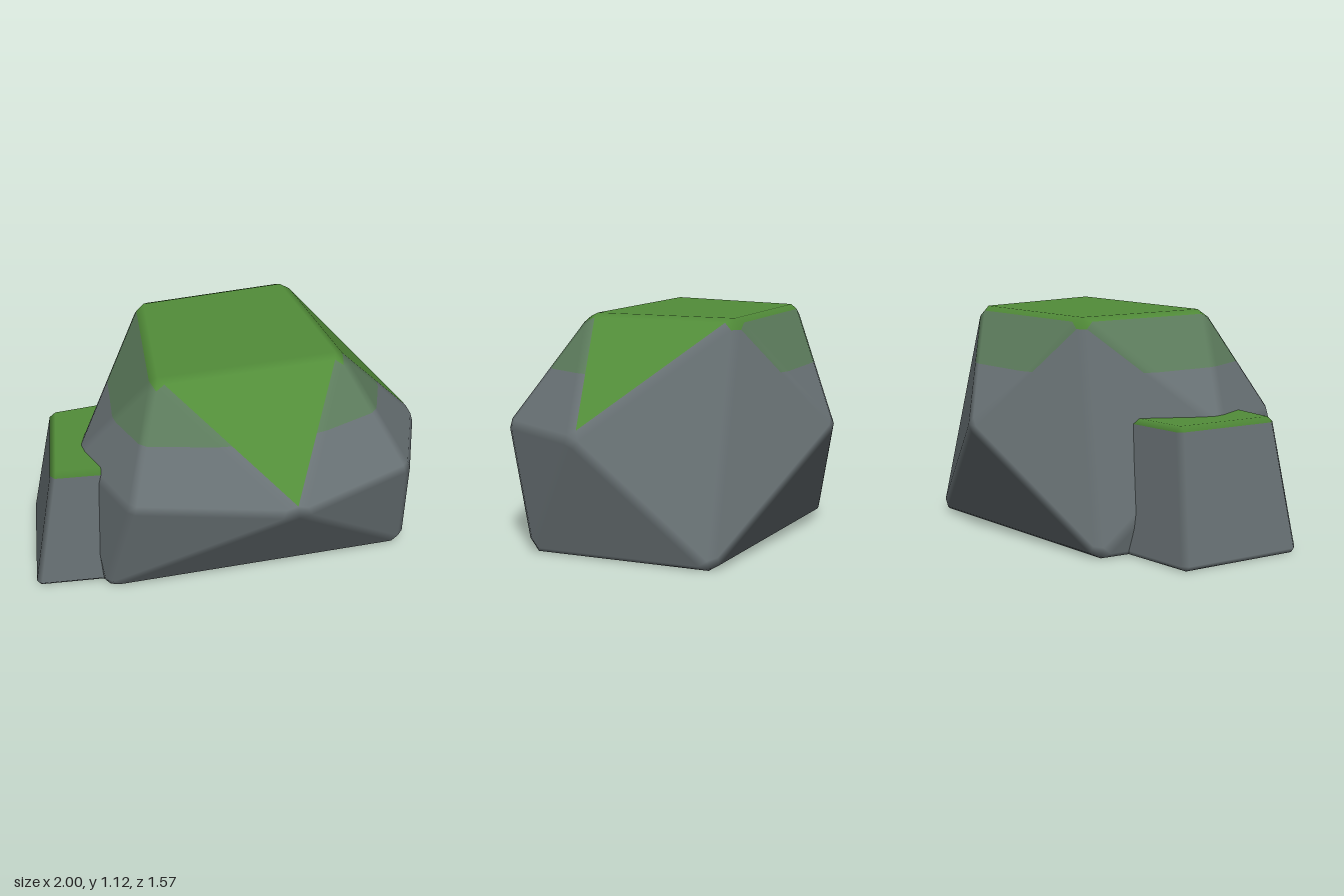
import * as THREE from 'three';
import { ConvexGeometry } from 'three/addons/geometries/ConvexGeometry.js';

const MOSS_LINE = 0.86; // thin moss stops at this height
const BEVEL = 0.025;

// Bevelled convex stone. corners: name -> [x, y, z]; faces: [kind, corner names].
// Each face is shrunk in its own plane; the hull of all shrunk faces adds the bevels,
// and the face normals blend across them.
function stone(name, corners, faces, materials) {
  const C = {};
  const centre = new THREE.Vector3();
  for (const k in corners) {
    C[k] = new THREE.Vector3(...corners[k]);
    centre.add(C[k]);
  }
  centre.divideScalar(Object.keys(C).length);

  const points = [];
  for (const [kind, list] of faces) {
    const poly = list.split(' ').map((k) => C[k]);
    const normal = new THREE.Plane().setFromCoplanarPoints(poly[0], poly[1], poly[2]).normal;
    if (normal.dot(poly[0].clone().sub(centre)) < 0) normal.negate();
    poly.forEach((p, i) => {
      const a = poly[(i + 1) % poly.length].clone().sub(p).normalize();
      const b = poly[(i + poly.length - 1) % poly.length].clone().sub(p).normalize();
      const s = BEVEL / Math.sin(a.angleTo(b));
      points.push({ p: p.clone().addScaledVector(a, s).addScaledVector(b, s), n: normal, kind });
    });
  }

  // Sort hull triangles by colour; bevels take the first kind in this order
  const order = ['top', 'thin', 'rock', 'moss'];
  const buckets = { rock: [], thin: [], moss: [] };
  const emit = (key, poly) => {
    for (let i = 1; i + 1 < poly.length; i++) buckets[key].push(poly[0], poly[i], poly[i + 1]);
  };
  const clip = (poly, sign) => {
    const out = [];
    poly.forEach((v, i) => {
      const w = poly[(i + 1) % poly.length];
      const dv = (v.p.y - MOSS_LINE) * sign;
      const dw = (w.p.y - MOSS_LINE) * sign;
      if (dv >= 0) out.push(v);
      if (dv * dw < 0) {
        const t = dv / (dv - dw);
        out.push({ p: v.p.clone().lerp(w.p, t), n: v.n.clone().lerp(w.n, t).normalize() });
      }
    });
    return out;
  };
  const hull = new ConvexGeometry(points.map((q) => q.p)).getAttribute('position');
  const nearest = (i) => {
    const v = new THREE.Vector3().fromBufferAttribute(hull, i);
    return points.reduce((m, q) => (q.p.distanceToSquared(v) < m.p.distanceToSquared(v) ? q : m));
  };
  for (let i = 0; i < hull.count; i += 3) {
    const tri = [nearest(i), nearest(i + 1), nearest(i + 2)];
    const kind = order[Math.min(...tri.map((q) => order.indexOf(q.kind)))];
    if (kind === 'thin') {
      emit('thin', clip(tri, 1));
      emit('rock', clip(tri, -1));
    } else emit(kind === 'top' ? 'moss' : kind, tri);
  }

  const group = new THREE.Group();
  group.name = name;
  const labels = { rock: 'Rock', thin: 'ThinMoss', moss: 'Moss' };
  for (const key in buckets) {
    if (!buckets[key].length) continue;
    const geo = new THREE.BufferGeometry();
    const flat = (f) => new THREE.Float32BufferAttribute(buckets[key].flatMap((v) => v[f].toArray()), 3);
    geo.setAttribute('position', flat('p'));
    geo.setAttribute('normal', flat('n'));
    const mesh = new THREE.Mesh(geo, materials[key]);
    mesh.name = name + labels[key];
    group.add(mesh);
  }
  return group;
}

export function createModel() {
  const paint = (name, color) => {
    const m = new THREE.MeshStandardMaterial({ color });
    m.name = name;
    return m;
  };
  const materials = {
    rock: paint('stone grey', 0x687174),
    thin: paint('thin moss', 0x5c7b5c),
    moss: paint('moss green', 0x528d39),
  };
  const model = new THREE.Group();
  model.name = 'mossyRocks';

  // Large boulder: t = top corners, b = base corners, m = waist corners, F R B L = side points
  model.add(stone('boulder', {
    tbl: [-0.33, 1.12, -0.41], tbr: [0.44, 1.12, -0.47], tfr: [0.55, 1.12, 0.27], tfl: [-0.38, 1.12, 0.32],
    bbl: [-0.54, 0, -0.46], bbr: [0.78, 0, -0.52], bfr: [0.89, 0, 0.4], bfl: [-0.67, 0, 0.45],
    F: [0.23, 0.59, 0.8], R: [1.01, 0.59, 0.09], B: [0.05, 0.59, -0.8], L: [-0.75, 0.6, 0.12],
    mfr: [0.84, 0.6, 0.56], mfl: [-0.55, 0.6, 0.62],
  }, [
    ['top', 'tbl tbr tfr tfl'], ['rock', 'bbl bbr bfr bfl'],
    ['moss', 'tfl tfr F'], ['moss', 'tfr tbr R'],
    ['thin', 'tbr tbl B'], ['thin', 'tbl tfl L'],
    ['thin', 'tfl F mfl'], ['thin', 'tfl mfl L'],
    ['thin', 'tfr F mfr'], ['thin', 'tfr mfr R'],
    ['rock', 'F bfl bfr'], ['rock', 'F mfl bfl'], ['rock', 'mfl L bfl'],
    ['rock', 'F mfr bfr'], ['rock', 'mfr R bfr'], ['rock', 'R bfr bbr'],
    ['rock', 'R bbr tbr'], ['rock', 'B tbr bbr'], ['rock', 'B bbr bbl'],
    ['rock', 'B tbl bbl'], ['rock', 'L tbl bbl'], ['rock', 'L bbl bfl'],
  ], materials));

  // Small block leaning against the boulder
  model.add(stone('sideBlock', {
    b0: [-0.95, 0, -0.28], b1: [-1.01, 0, 0.38], b2: [-0.4, 0, 0.42], b3: [-0.4, 0, -0.32],
    t0: [-0.83, 0.65, -0.22], t1: [-0.89, 0.65, 0.32], t2: [-0.4, 0.65, 0.355], t3: [-0.4, 0.65, -0.26],
  }, [
    ['top', 't0 t1 t2 t3'], ['rock', 'b0 b1 b2 b3'],
    ['rock', 'b0 b1 t1 t0'], ['rock', 'b1 b2 t2 t1'],
    ['rock', 'b2 b3 t3 t2'], ['rock', 'b3 b0 t0 t3'],
  ], materials));

  return model;
}
